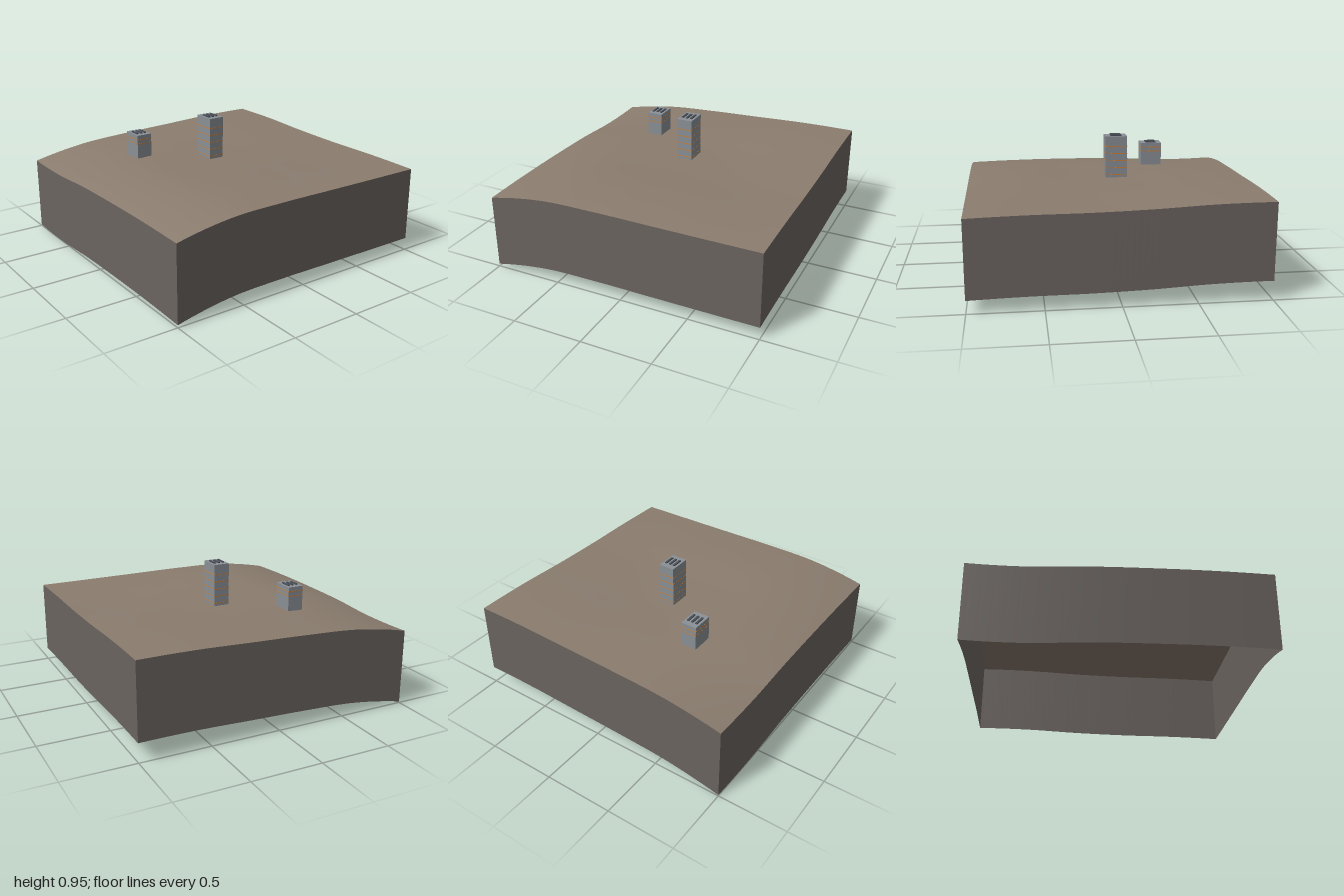
import * as THREE from 'three';

// Ground heights: rows run from z = -1 to 1, columns from x = -1 to 1
const HEIGHTS = [
  [0.545, 0.615, 0.640, 0.655, 0.670, 0.672],
  [0.538, 0.615, 0.643, 0.655, 0.666, 0.668],
  [0.558, 0.630, 0.640, 0.640, 0.648, 0.650],
  [0.565, 0.635, 0.641, 0.638, 0.635, 0.640],
  [0.565, 0.635, 0.650, 0.645, 0.638, 0.638],
  [0.555, 0.622, 0.633, 0.631, 0.629, 0.628],
];
const DEPTH = 0.535;

// Smooth curve through evenly spaced values, t from -1 to 1
function smooth(v, t) {
  const n = v.length - 1;
  const s = (t + 1) / 2 * n;
  const i = Math.max(0, Math.min(n - 1, Math.floor(s)));
  const f = s - i;
  const before = i > 0 ? v[i - 1] : 3 * v[0] - 3 * v[1] + v[2];
  const after = i < n - 1 ? v[i + 2] : 3 * v[n] - 3 * v[n - 1] + v[n - 2];
  const b = v[i], c = v[i + 1];
  return b + 0.5 * f * (c - before + f * (2 * before - 5 * b + 4 * c - after
    + f * (3 * (b - c) + after - before)));
}

const ground = (x, z) => smooth(HEIGHTS.map(row => smooth(row, x)), z);

export function createModel() {
  const model = new THREE.Group();
  model.name = 'terrainBlockWithTowers';

  const soil = new THREE.MeshStandardMaterial({ color: 0x8b7d6f, side: THREE.DoubleSide });
  const rock = new THREE.MeshStandardMaterial({ color: 0x6b6460, side: THREE.DoubleSide });
  const concrete = new THREE.MeshStandardMaterial({ color: 0x8a9096 });
  const darkMetal = new THREE.MeshStandardMaterial({ color: 0x4a5058 });
  const orange = new THREE.MeshStandardMaterial({ color: 0xc8813c });
  soil.name = 'soil';
  rock.name = 'rock';
  concrete.name = 'concrete';
  darkMetal.name = 'darkMetal';
  orange.name = 'orange';

  const add = (parent, name, geometry, material, x = 0, y = 0, z = 0) => {
    const mesh = new THREE.Mesh(geometry, material);
    mesh.name = name;
    mesh.position.set(x, y, z);
    parent.add(mesh);
    return mesh;
  };

  // Rolling ground surface
  const top = new THREE.PlaneGeometry(2, 2, 50, 50).rotateX(-Math.PI / 2);
  const p = top.attributes.position;
  for (let i = 0; i < p.count; i++) p.setY(i, ground(p.getX(i), p.getZ(i)));
  top.computeVertexNormals();
  add(model, 'ground', top, soil);

  // Four side walls whose lower edge follows the ground; open underneath
  ['frontWall', 'leftWall', 'backWall', 'rightWall'].forEach((name, k) => {
    const wall = new THREE.PlaneGeometry(2, 1, 50, 1);
    wall.translate(0, 0, 1).rotateY(k * Math.PI / 2);
    const q = wall.attributes.position;
    for (let i = 0; i < q.count; i++) {
      const drop = q.getY(i) > 0 ? 0 : DEPTH;
      q.setY(i, ground(q.getX(i), q.getZ(i)) - drop);
    }
    add(model, name, wall, rock);
  });

  // Towers with thin orange floor bands and three roof vents
  const W = 0.116, D = 0.16;
  const tower = (name, x, z, base, roof, bands) => {
    const group = new THREE.Group();
    group.name = name;
    group.position.set(x, 0, z);
    model.add(group);
    add(group, 'body', new THREE.BoxGeometry(W, roof - base, D), concrete, 0, (roof + base) / 2, 0);
    for (const y of bands) {
      add(group, 'floorBand', new THREE.BoxGeometry(W + 0.002, 0.006, D + 0.002), orange, 0, y, 0);
    }
    for (const dx of [-0.033, 0, 0.033]) {
      add(group, 'roofVent', new THREE.BoxGeometry(0.015, 0.008, 0.08), darkMetal, dx, roof + 0.004, 0);
    }
  };
  tower('tallTower', 0, -0.082, 0.636, 0.945, [0.66, 0.712, 0.765, 0.818, 0.871]);
  tower('shortTower', -0.418, -0.416, 0.632, 0.81, [0.745, 0.777]);

  return model;
}
